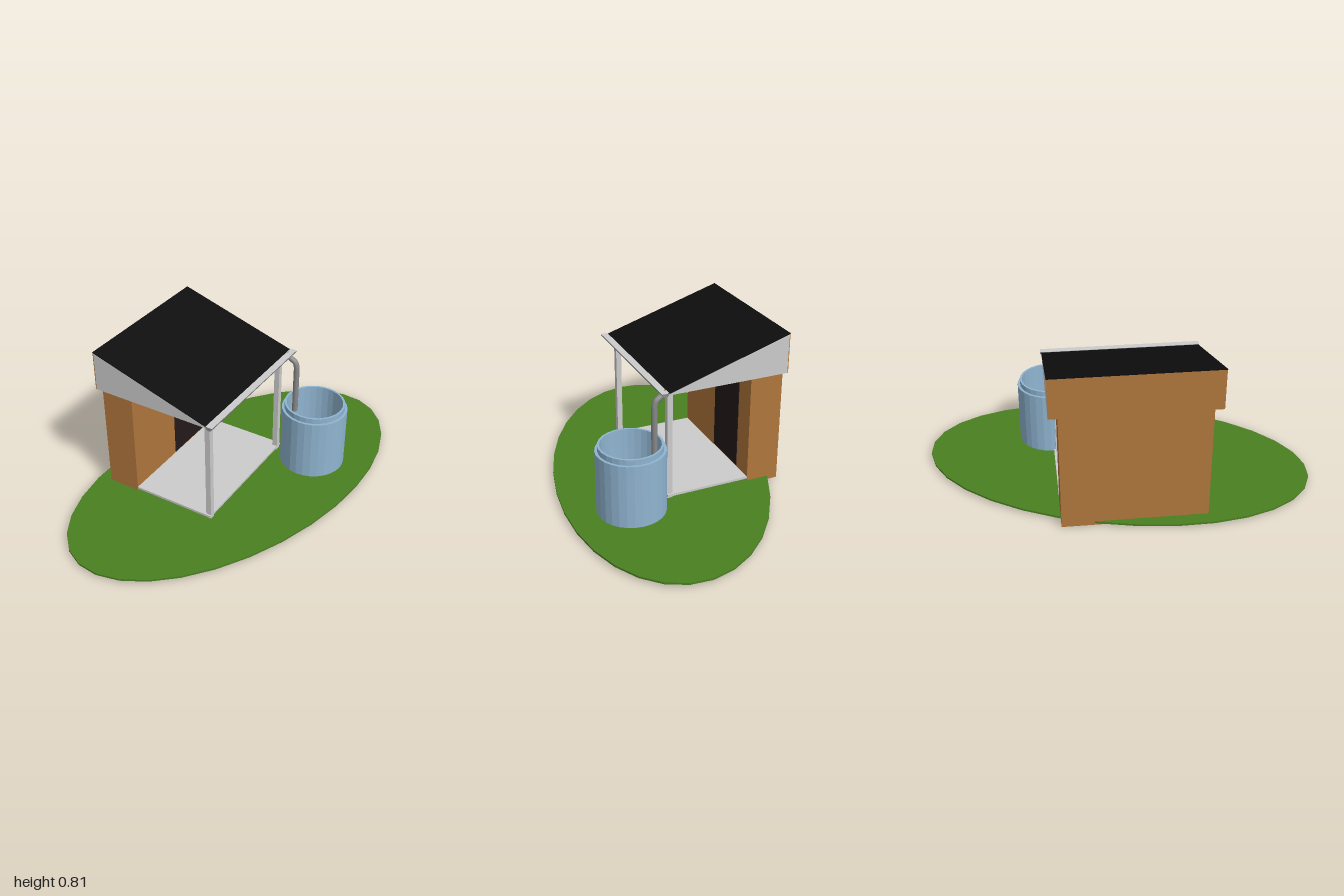
import * as THREE from 'three';

const material = (color, extra = {}) => new THREE.MeshStandardMaterial({ color, ...extra });

function addMesh(parent, name, geometry, mat, x = 0, y = 0, z = 0) {
  const mesh = new THREE.Mesh(geometry, mat);
  mesh.name = name;
  mesh.position.set(x, y, z);
  parent.add(mesh);
  return mesh;
}

// Side outline given as [z, y] pairs, extruded across x
function sideProfile(points, width) {
  const shape = new THREE.Shape(points.map(([z, y]) => new THREE.Vector2(z, y)));
  return new THREE.ExtrudeGeometry(shape, { depth: width, bevelEnabled: false })
    .translate(0, 0, -width / 2)
    .rotateY(-Math.PI / 2);
}

export function createModel() {
  const model = new THREE.Group();
  model.name = 'shedWithWaterTank';

  const grey = material(0xcccccc);
  const darkGrey = material(0x888888, { side: THREE.DoubleSide });
  const brown = material(0xb0763c);
  const black = material(0x0d0d0d);
  const blue = material(0x90b5d1, { flatShading: true, side: THREE.DoubleSide });

  // Oval lawn
  const lawn = new THREE.CylinderGeometry(1, 1, 0.01, 32).scale(1, 1, 0.547);
  addMesh(model, 'lawn', lawn, material(0x4a7f21, { flatShading: true }), 0, 0.015, 0.028);

  // Shed, turned on the lawn
  const shed = new THREE.Group();
  shed.name = 'shed';
  shed.position.set(-0.089, 0, -0.165);
  shed.rotation.y = 0.274;
  model.add(shed);

  addMesh(shed, 'room', new THREE.BoxGeometry(0.712, 0.606, 0.172), brown, 0, 0.303, -0.226);
  addMesh(shed, 'door', new THREE.BoxGeometry(0.254, 0.51, 0.006), material(0x241a1b), 0.114, 0.305, -0.14);
  addMesh(shed, 'porchFloor', new THREE.BoxGeometry(0.712, 0.012, 0.438), grey, 0, 0.037, 0.079);
  for (const [name, side] of [['leftPost', 1], ['rightPost', -1]]) {
    addMesh(shed, name, new THREE.BoxGeometry(0.028, 0.61, 0.028), grey, side * 0.333, 0.305, 0.284);
  }

  // Wedge roof: grey body, black covering, brown back board
  const wedge = [[-0.312, 0.606], [0.315, 0.606], [0.315, 0.612], [-0.312, 0.808]];
  addMesh(shed, 'roofBody', sideProfile(wedge, 0.8), grey);
  const cover = [[-0.315, 0.808], [0.315, 0.612], [0.315, 0.616], [-0.315, 0.812]];
  addMesh(shed, 'roofCover', sideProfile(cover, 0.802), black);
  addMesh(shed, 'backBoard', new THREE.BoxGeometry(0.8, 0.202, 0.004), brown, 0, 0.707, -0.313);

  // Half-round gutter with its flat top
  const gutter = new THREE.CylinderGeometry(0.018, 0.018, 0.81, 16, 1, false, 0, Math.PI)
    .rotateZ(-Math.PI / 2);
  addMesh(shed, 'gutter', gutter, darkGrey, 0, 0.618, 0.331);
  const gutterTop = new THREE.PlaneGeometry(0.81, 0.036).rotateX(-Math.PI / 2);
  addMesh(shed, 'gutterTop', gutterTop, grey, 0, 0.619, 0.331);

  // Downpipe from the gutter into the tank
  const path = new THREE.CurvePath();
  const v = (x, y, z) => new THREE.Vector3(x, y, z);
  path.add(new THREE.CatmullRomCurve3([
    v(0.347, 0.61, 0.035), v(0.352, 0.592, 0.06), v(0.362, 0.572, 0.086), v(0.365, 0.545, 0.095),
  ]));
  path.add(new THREE.LineCurve3(v(0.365, 0.545, 0.095), v(0.365, 0.28, 0.095)));
  addMesh(model, 'downpipe', new THREE.TubeGeometry(path, 40, 0.015, 12), darkGrey);

  // Open water tank: outside, stepped rim, inside wall and floor
  const tankProfile = [
    [0, 0.005], [0.17, 0.005], [0.17, 0.347], [0.157, 0.347], [0.157, 0.375],
    [0.146, 0.375], [0.146, 0.03], [0, 0.03],
  ].map(([r, y]) => new THREE.Vector2(r, y));
  addMesh(model, 'waterTank', new THREE.LatheGeometry(tankProfile, 28), blue, 0.39, 0, 0.21);

  return model;
}
